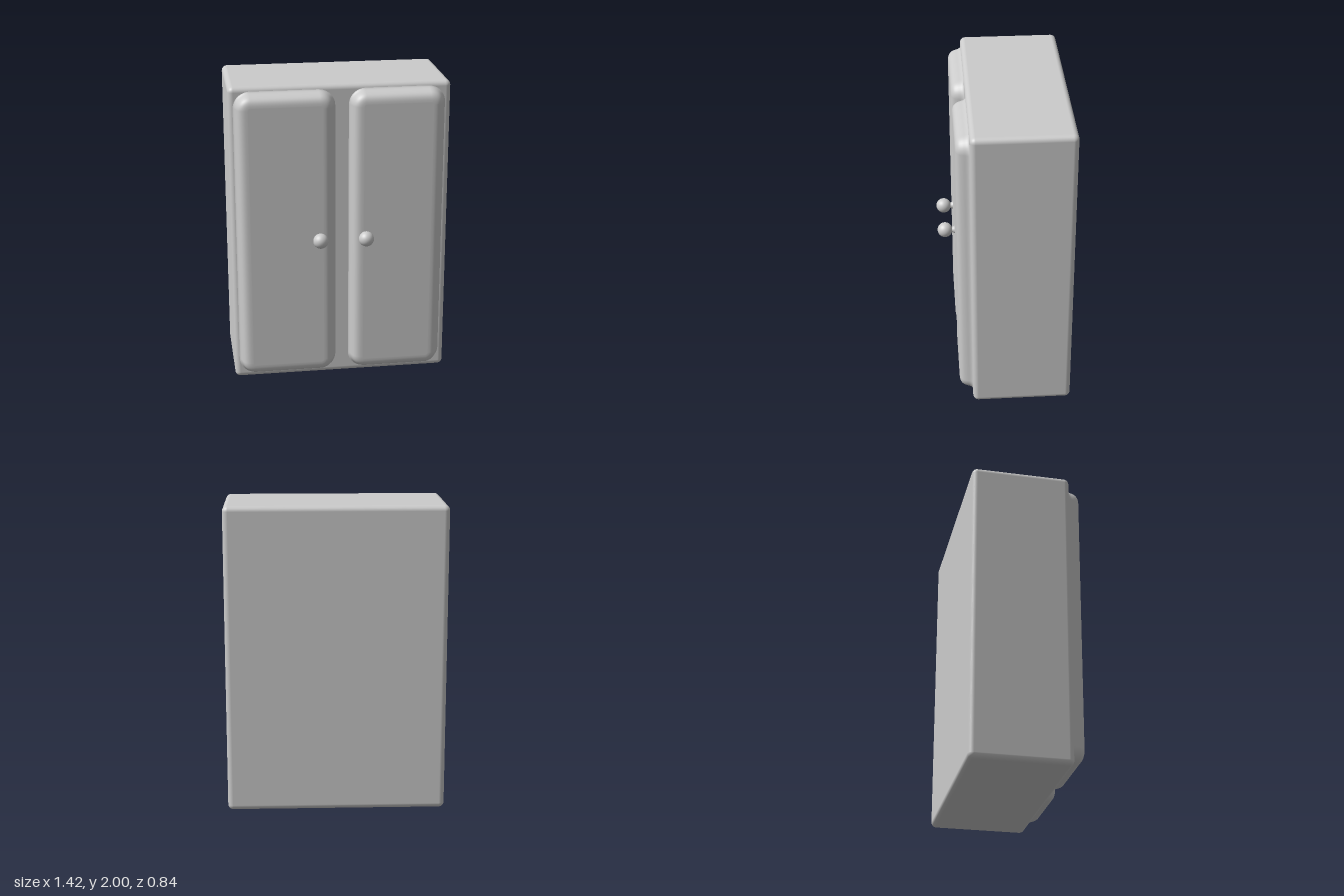
import * as THREE from 'three';
import { RoundedBoxGeometry } from 'three/addons/geometries/RoundedBoxGeometry.js';

const material = new THREE.MeshStandardMaterial({ color: 0xcccccc });

function addPart(parent, name, geometry, x = 0, y = 0, z = 0) {
  const mesh = new THREE.Mesh(geometry, material);
  mesh.name = name;
  mesh.position.set(x, y, z);
  parent.add(mesh);
  return mesh;
}

// Raised panel: rounded-rectangle loops that follow a soft S-shaped edge profile
function panelGeometry(width, height, radius, profile) {
  const perCorner = 10, count = 4 * perCorner;
  const positions = [], indices = [];
  for (const { x: inset, y: z } of profile) {
    const r = radius - inset;
    for (let j = 0; j < count; j++) {
      const corner = Math.floor(j / perCorner);
      const a = (corner + (j % perCorner) / (perCorner - 1)) * Math.PI / 2;
      const sx = corner === 0 || corner === 3 ? 1 : -1;
      const sy = corner < 2 ? 1 : -1;
      positions.push(
        sx * (width / 2 - radius) + r * Math.cos(a),
        sy * (height / 2 - radius) + r * Math.sin(a), z);
    }
  }
  const last = profile.length - 1;
  for (let i = 0; i < last; i++) {
    for (let j = 0; j < count; j++) {
      const k = (j + 1) % count, a = i * count, b = a + count;
      indices.push(a + j, a + k, b + k, a + j, b + k, b + j);
    }
  }
  // flat front
  const centre = positions.length / 3;
  positions.push(0, 0, profile[last].y);
  for (let j = 0; j < count; j++) {
    indices.push(centre, last * count + j, last * count + (j + 1) % count);
  }
  const geometry = new THREE.BufferGeometry();
  geometry.setAttribute('position', new THREE.Float32BufferAttribute(positions, 3));
  geometry.setIndex(indices);
  geometry.computeVertexNormals();
  return geometry;
}

export function createModel() {
  const group = new THREE.Group();
  group.name = 'wardrobe';

  // Cabinet body
  addPart(group, 'cabinetBody', new RoundedBoxGeometry(1.42, 2, 0.645, 6, 0.035), 0, 1, -0.0975);

  // Door edge as (inset, z): cove at the foot, rounded shoulder, flat front
  const profile = new THREE.SplineCurve([
    [-0.027, 0.205], [-0.022, 0.22], [-0.01, 0.228], [-0.002, 0.242], [0.005, 0.265],
    [0.016, 0.287], [0.032, 0.301], [0.052, 0.308], [0.075, 0.31],
  ].map(([x, y]) => new THREE.Vector2(x, y))).getPoints(24);

  // Door spans; the right one is slightly wider
  const doors = [
    { side: 'right', x0: -0.665, x1: -0.048, knobX: -0.148 },
    { side: 'left', x0: 0.067, x1: 0.657, knobX: 0.148 },
  ];
  const stem = new THREE.LatheGeometry(
    [[0.027, 0], [0.023, 0.01], [0.018, 0.022], [0.018, 0.05]].map(([r, h]) => new THREE.Vector2(r, h)), 24);
  stem.rotateX(Math.PI / 2);

  for (const { side, x0, x1, knobX } of doors) {
    addPart(group, side + 'Door', panelGeometry(x1 - x0, 1.908, 0.09, profile), (x0 + x1) / 2, 1.002, 0);

    // Ball knob on a flared stem
    const knob = new THREE.Group();
    knob.name = side + 'Knob';
    knob.position.set(knobX, 1.01, 0.305);
    addPart(knob, 'knobStem', stem);
    addPart(knob, 'knobBall', new THREE.SphereGeometry(0.049, 32, 20), 0, 0, 0.068);
    group.add(knob);
  }
  return group;
}
